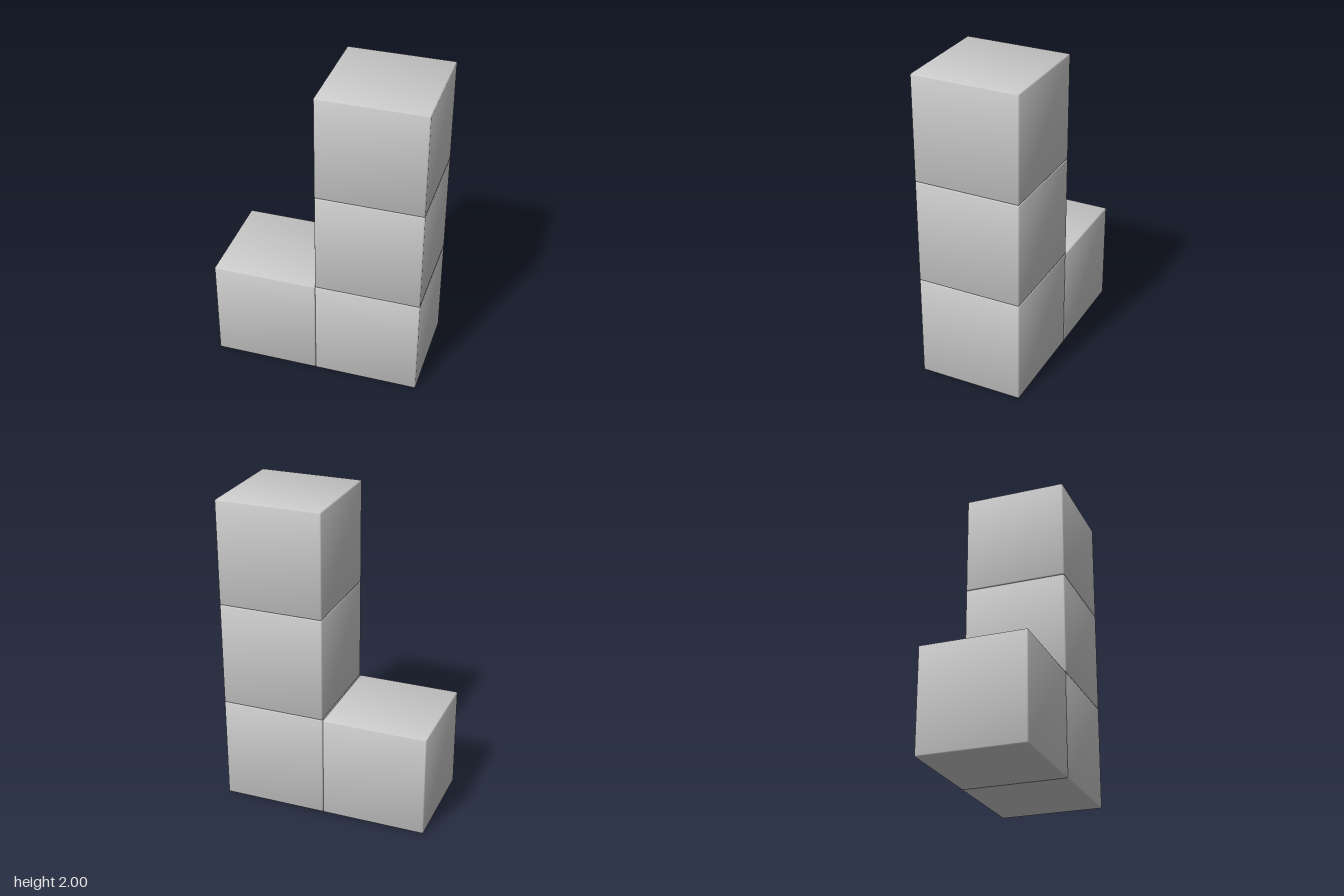
import * as THREE from 'three';

const SIZE = 2 / 3;
const BEVEL = 0.008;

// Cube with narrow rounded edges and softly blended normals
function softCube() {
  const geo = new THREE.BoxGeometry(SIZE, SIZE, SIZE, 3, 3, 3);
  const { position, normal } = geo.attributes;
  const inner = SIZE / 2 - BEVEL;
  const p = new THREE.Vector3();
  const core = new THREE.Vector3();
  const sign = new THREE.Vector3();
  for (let i = 0; i < position.count; i++) {
    p.fromBufferAttribute(position, i);
    sign.set(Math.sign(p.x), Math.sign(p.y), Math.sign(p.z));
    core.copy(sign).multiplyScalar(inner);
    // outward direction uses only the axes lying on the cube surface
    const out = ['x', 'y', 'z'].map((a) => (Math.abs(p[a]) > SIZE / 2 - 1e-4 ? sign[a] : 0));
    const dir = new THREE.Vector3(...out).normalize();
    core.addScaledVector(dir, BEVEL);
    position.setXYZ(i, core.x, core.y, core.z);
    dir.multiplyScalar(3).add(sign).normalize();
    normal.setXYZ(i, dir.x, dir.y, dir.z);
  }
  return geo;
}

export function createModel() {
  const group = new THREE.Group();
  group.name = 'lShapedBlock';
  const geo = softCube();
  const material = new THREE.MeshStandardMaterial({ color: 0xcccccc });

  // Column of three cubes with one foot cube beside the lowest
  const cubes = [
    ['footCube', -1, 0],
    ['lowerCube', 1, 0],
    ['middleCube', 1, 1],
    ['upperCube', 1, 2],
  ];
  for (const [name, side, level] of cubes) {
    const mesh = new THREE.Mesh(geo, material);
    mesh.name = name;
    mesh.position.set((side * SIZE) / 2, (level + 0.5) * SIZE, 0);
    group.add(mesh);
  }
  return group;
}
